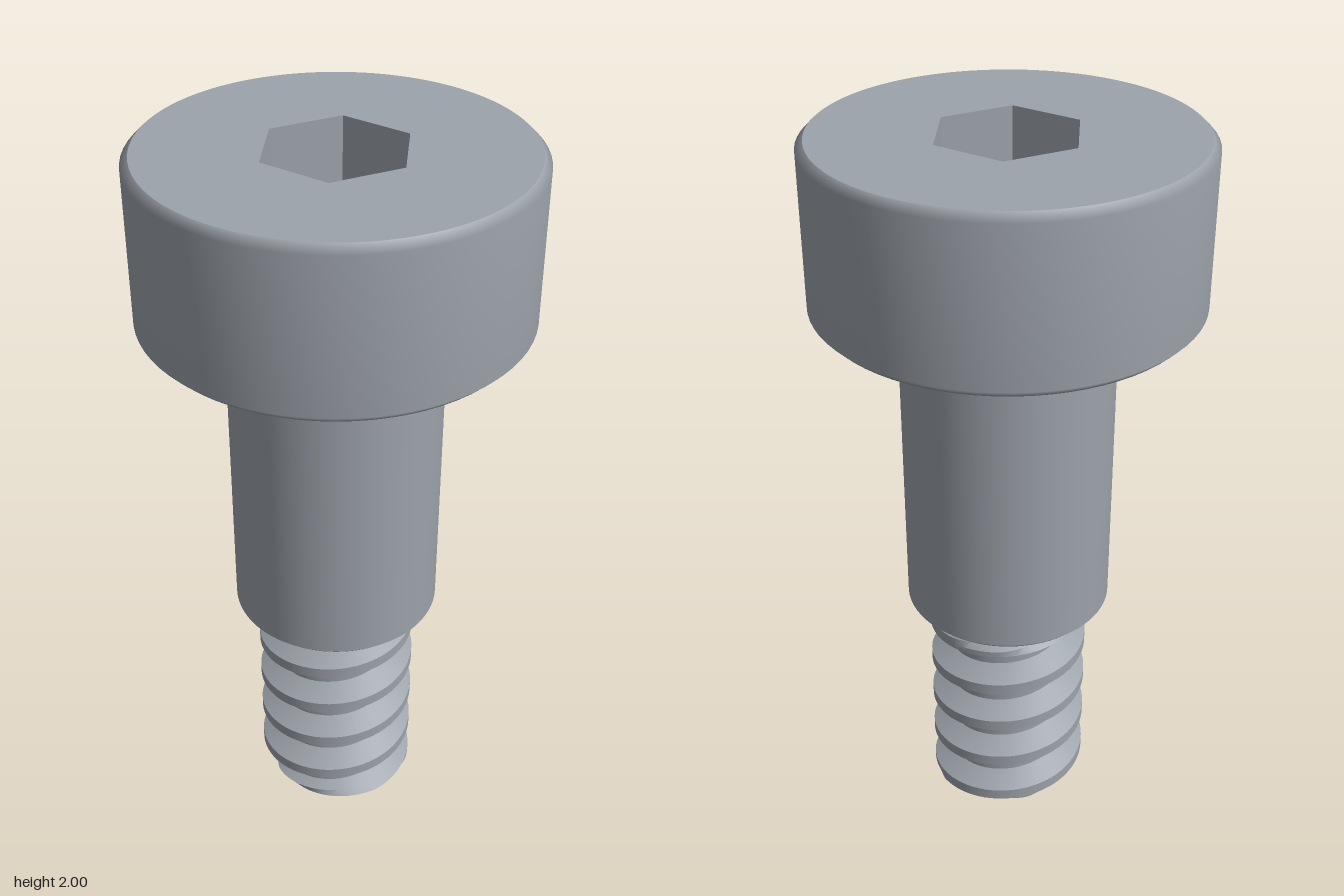
import * as THREE from 'three';
import { toCreasedNormals } from 'three/addons/utils/BufferGeometryUtils.js';

const SEGMENTS = 72;
const HEX = 0.193, HEX_DEPTH = 0.22;
const PITCH = 0.133, ROOT = 0.162, CREST = 0.22, THREAD_TOP = 0.675;

// Turned part from [radius, height] pairs, bottom to top
function turned(points) {
  return new THREE.LatheGeometry(points.map(([r, y]) => new THREE.Vector2(r, y)), SEGMENTS);
}

// Thread radius at an angle and height, tapered at the tip and under the shank
function threadRadius(turn, y) {
  let d = (y - 0.05) / PITCH - turn;
  d = Math.abs(d - Math.round(d)) * PITCH;
  const flank = THREE.MathUtils.clamp((d - 0.016) / 0.032, 0, 1);
  const r = THREE.MathUtils.lerp(CREST, ROOT, flank);
  const tip = 0.15 + 1.5 * y;
  const runout = Math.max(0.17, CREST - Math.max(0, y - 0.615) * 1.6);
  return Math.min(r, tip, runout);
}

// Right-handed helical thread whose rows follow the crest and root edges
function threadGeometry() {
  const steps = [-0.048, -0.032, -0.016, 0, 0.016, 0.032, 0.048];
  const rows = [];
  for (let k = -2; k <= 6; k++) for (const s of steps) rows.push(0.05 + k * PITCH + s);
  const positions = [], index = [], n = rows.length;
  for (let i = 0; i <= SEGMENTS; i++) {
    const turn = i / SEGMENTS, a = turn * Math.PI * 2;
    for (const row of rows) {
      const y = THREE.MathUtils.clamp(row + turn * PITCH, 0, THREAD_TOP);
      const r = threadRadius(turn, y);
      positions.push(r * Math.cos(a), y, -r * Math.sin(a));
    }
  }
  for (let i = 0; i < SEGMENTS; i++) {
    for (let j = 0; j < n - 1; j++) {
      const a = i * n + j, b = a + n;
      index.push(a, b, b + 1, a, b + 1, a + 1);
    }
  }
  const geometry = new THREE.BufferGeometry();
  geometry.setAttribute('position', new THREE.Float32BufferAttribute(positions, 3));
  geometry.setIndex(index);
  return toCreasedNormals(geometry, 0.5);
}

export function createModel() {
  const group = new THREE.Group();
  const steel = new THREE.MeshStandardMaterial({ color: 0x9da3ab });
  steel.name = 'steel grey';
  const add = (name, geometry) => {
    const mesh = new THREE.Mesh(geometry, steel);
    mesh.name = name;
    group.add(mesh);
    return mesh;
  };

  // Head with chamfered rims
  add('head', turned([[0.295, 1.56], [0.48, 1.56], [0.5, 1.58], [0.5, 1.98], [0.48, 2]]));

  // Flat top with the hexagonal opening
  const face = new THREE.Shape().absarc(0, 0, 0.48, 0, Math.PI * 2);
  const corners = [];
  for (let i = 0; i < 6; i++) {
    const a = Math.PI / 2 - i * Math.PI / 3;
    corners.push(new THREE.Vector2(HEX * Math.cos(a), HEX * Math.sin(a)));
  }
  face.holes.push(new THREE.Path(corners));
  add('headTop', new THREE.ShapeGeometry(face, SEGMENTS).rotateX(-Math.PI / 2).translate(0, 2, 0));

  // Socket walls turned inward, and the socket floor
  const walls = new THREE.CylinderGeometry(HEX, HEX, HEX_DEPTH, 6, 1, true).toNonIndexed();
  walls.scale(-1, 1, 1);
  // Mirroring reverses the corner order, so the walls face the axis
  walls.computeVertexNormals();
  add('socketWalls', walls.translate(0, 2 - HEX_DEPTH / 2, 0));
  add('socketFloor', new THREE.CircleGeometry(HEX, 6).rotateZ(Math.PI / 2)
    .rotateX(-Math.PI / 2).translate(0, 2 - HEX_DEPTH, 0));

  // Smooth shoulder with a lower chamfer and a fillet under the head
  add('shank', turned([[0.15, 0.67], [0.262, 0.67], [0.28, 0.688], [0.28, 1.54], [0.284, 1.552], [0.297, 1.56]]));

  // Threaded end and its flat tip
  add('thread', threadGeometry());
  add('tip', new THREE.CircleGeometry(0.15, SEGMENTS).rotateX(Math.PI / 2));

  return group;
}
